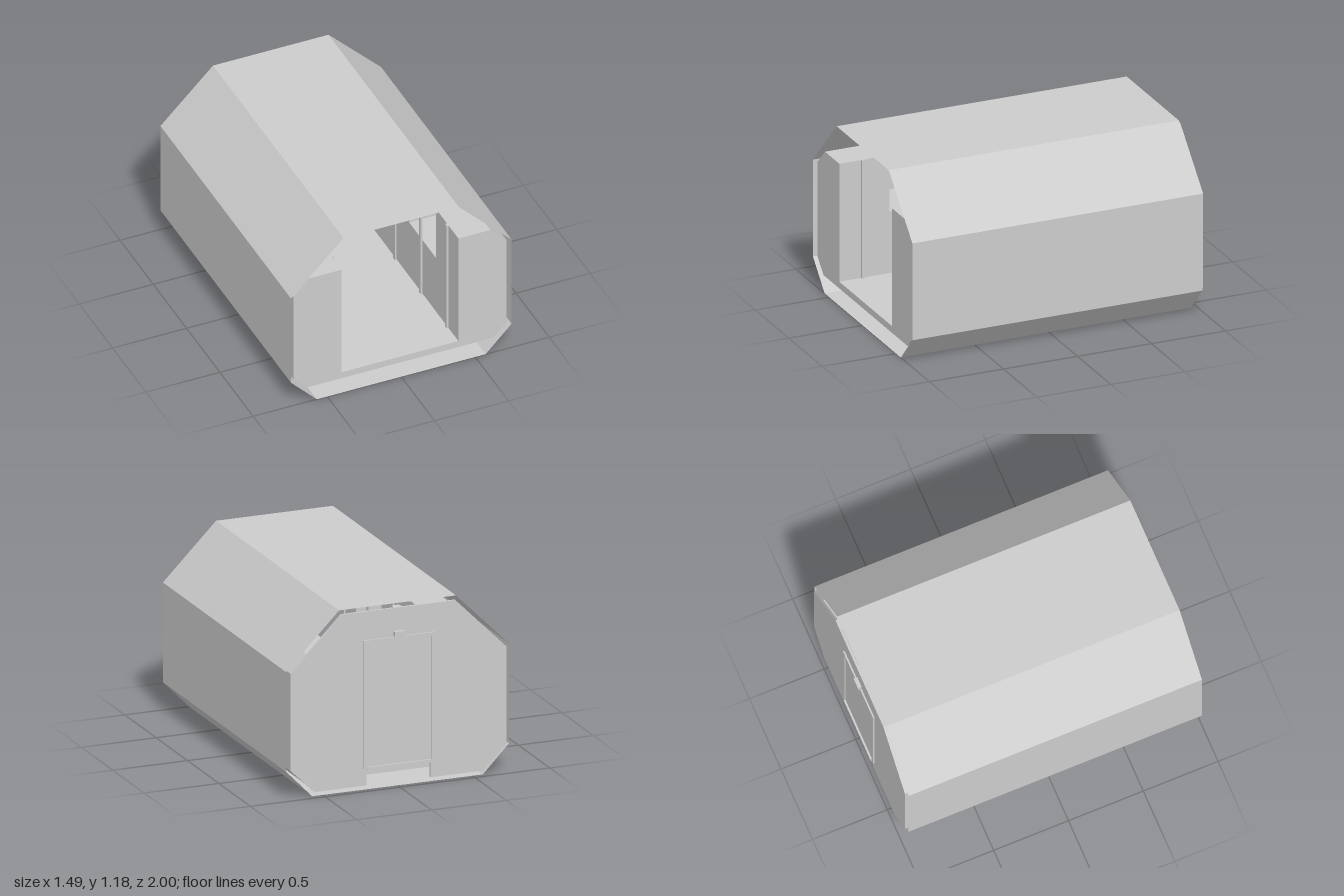
import * as THREE from 'three';

export function createModel() {
  const group = new THREE.Group();
  const grey = new THREE.MeshStandardMaterial({ color: 0xcccccc });
  grey.name = 'light grey';
  const greySheet = new THREE.MeshStandardMaterial({ color: 0xcccccc, side: THREE.DoubleSide });
  greySheet.name = 'light grey sheet';

  const add = (name, geometry, material = grey) => {
    const mesh = new THREE.Mesh(geometry, material);
    mesh.name = name;
    group.add(mesh);
    return mesh;
  };
  // box given by its limits on each axis
  const box = (name, x0, x1, y0, y1, z0, z1) =>
    add(name, new THREE.BoxGeometry(x1 - x0, y1 - y0, z1 - z0))
      .position.set((x0 + x1) / 2, (y0 + y1) / 2, (z0 + z1) / 2);
  // outline in x, y extruded from z0 to z1
  const prism = (name, points, z0, z1) => {
    const shape = new THREE.Shape(points.map(([x, y]) => new THREE.Vector2(x, y)));
    const geometry = new THREE.ExtrudeGeometry(shape, { depth: z1 - z0, bevelEnabled: false });
    geometry.translate(0, 0, z0);
    return add(name, geometry);
  };
  const mirrored = (half) => [...half, ...half.map(([x, y]) => [-x, y]).reverse()];

  // thin eight-sided hull, open at both ends
  const hull = mirrored([[0.57, 0], [0.745, 0.18], [0.745, 0.825], [0.39, 1.18]]);
  const positions = [];
  hull.forEach(([ax, ay], i) => {
    const [bx, by] = hull[(i + 1) % hull.length];
    positions.push(ax, ay, 1, bx, by, -0.96, ax, ay, -0.96);
    positions.push(ax, ay, 1, bx, by, 1, bx, by, -0.96);
  });
  const hullGeometry = new THREE.BufferGeometry();
  hullGeometry.setAttribute('position', new THREE.Float32BufferAttribute(positions, 3));
  hullGeometry.computeVertexNormals();
  add('hull', hullGeometry, greySheet);

  // end wall with the doorway cut up from its lower edge
  prism('endWall', mirrored([
    [0.215, 0.945], [0.215, 0.03], [0.56, 0.03], [0.72, 0.185], [0.72, 0.815], [0.38, 1.155],
  ]).filter(([x, y]) => true), -0.975, -0.96);

  // raised floor
  prism('floor', mirrored([[0.627, 0.095], [0.674, 0.14]]), -0.96, 0.98);

  // door, frame and sill
  box('door', -0.215, 0.215, 0.15, 0.945, -0.978, -0.96);
  for (const s of [-1, 1]) {
    const [a, b] = [s * 0.215, s * 0.237].sort((p, q) => p - q);
    box('doorFrameSide', a, b, 0.14, 0.945, -0.985, -0.95);
  }
  box('doorFrameTop', -0.237, 0.237, 0.945, 0.97, -0.985, -0.95);
  box('doorSill', -0.215, 0.215, 0.13, 0.15, -0.99, -0.96);

  // lamp above the door
  box('doorLamp', -0.035, 0.035, 0.975, 1.007, -1, -0.945);
  // hanging display with side brackets and ceiling mount
  box('display', -0.05, 0.05, 1.04, 1.11, -0.96, -0.92);
  for (const x of [-0.055, 0.055]) box('displayBracket', x - 0.005, x + 0.005, 1.03, 1.11, -0.96, -0.91);
  box('ceilingMount', -0.027, 0.027, 1.13, 1.155, -0.96, -0.92);
  // control box beside the door
  box('controlBox', 0.265, 0.395, 0.61, 0.845, -0.96, -0.93);

  // cabinet rows on both sides, with a low counter gap and upright posts
  const base = [[0.395, 0.14], [0.674, 0.14], [0.72, 0.185]];
  const tall = [...base, [0.72, 0.815], [0.61, 0.925], [0.395, 0.925]];
  const low = [...base, [0.72, 0.55], [0.395, 0.55]];
  for (const s of [-1, 1]) {
    const flip = (points) => points.map(([x, y]) => [s * x, y]);
    prism('frontCabinet', flip(tall), 0.64, 0.98);
    prism('counter', flip(low), 0.24, 0.64);
    prism('rearCabinet', flip(tall), -0.96, 0.24);
    for (let i = 0; i < 5; i++) {
      const z = 0.82 - i * 0.39;
      const x = s * 0.3885;
      box('post', x - 0.0065, x + 0.0065, 0.14, 0.925, z - 0.013, z + 0.013);
    }
  }
  return group;
}
